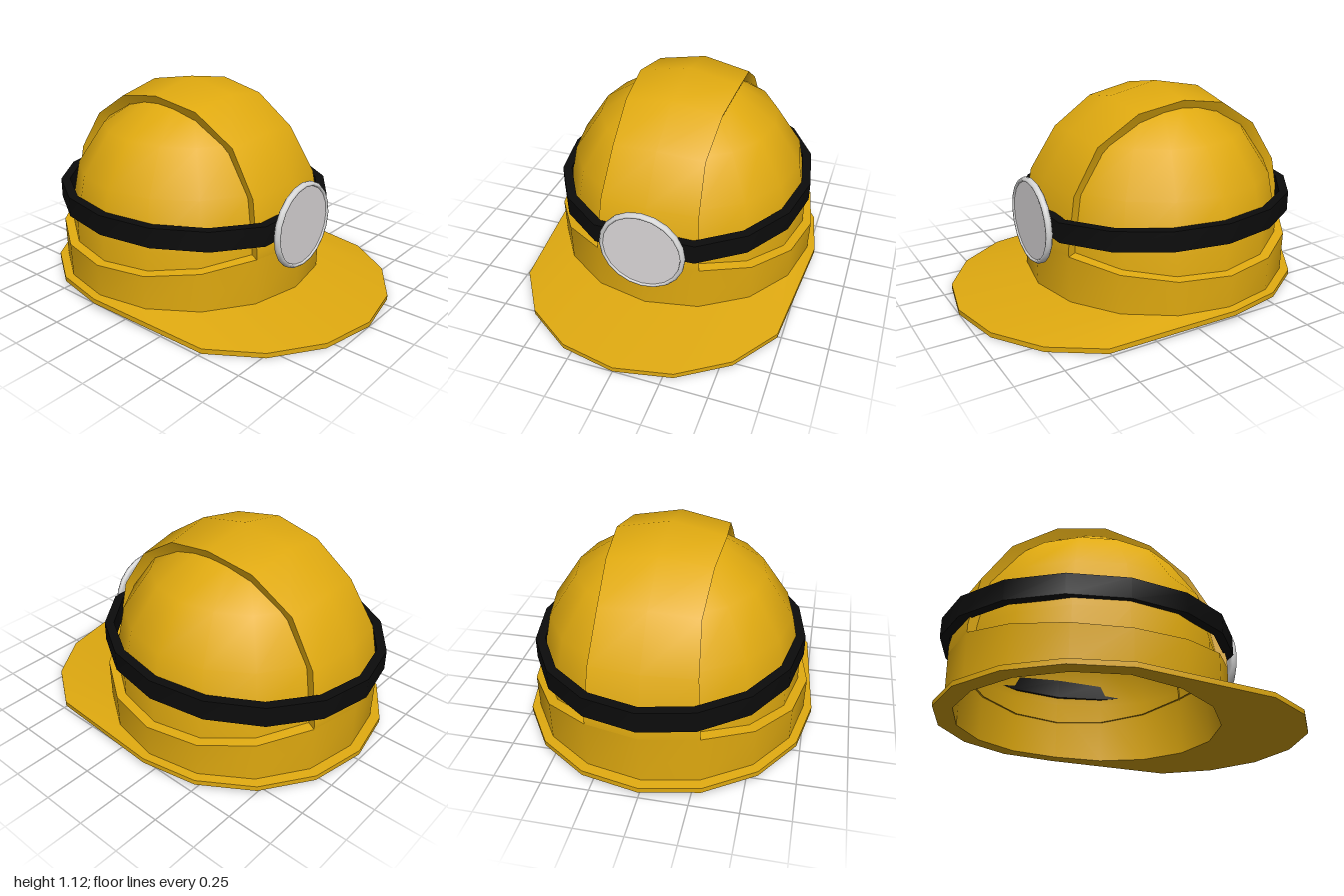
import * as THREE from 'three';
import { toCreasedNormals } from 'three/addons/utils/BufferGeometryUtils.js';

const SIDES = 16, STEP = Math.PI / 8, CY = 0.37, CZ = -0.2;

const material = (name, color, side = THREE.DoubleSide) => {
  const m = new THREE.MeshStandardMaterial({ color, side });
  m.name = name;
  return m;
};

// Skin a list of equally long rows of [x, y, z] points
function skin(rows) {
  const n = rows[0].length, index = [];
  for (let r = 0; r < rows.length - 1; r++) {
    for (let i = 0; i < n - 1; i++) {
      const a = r * n + i, b = a + 1, c = a + n, d = c + 1;
      index.push(a, b, d, a, d, c);
    }
  }
  const g = new THREE.BufferGeometry();
  g.setAttribute('position', new THREE.Float32BufferAttribute(rows.flat(2), 3));
  g.setIndex(index);
  return toCreasedNormals(g, 0.7);
}

// Closed ring around the head; fn gives a point from the angle (0 = front) and side number
const ring = (fn) => Array.from({ length: SIDES + 1 }, (_, i) => fn((i % SIDES) * STEP, i % SIDES));
const circle = (r, y) => ring((a, i) => {
  const z = CZ + r * Math.cos(a);
  return [r * Math.sin(a), typeof y === 'function' ? y(z, i) : y, z];
});

export function createModel() {
  const yellow = material('helmetYellow', 0xe0aa10);
  const black = material('strapBlack', 0x0c0c0c);
  const metal = material('lampMetal', 0xd6d6d6);
  const glass = material('lampGlass', 0xdcd9da);
  const group = new THREE.Group();
  group.name = 'helmet';
  const add = (name, geometry, mat, parent = group) => {
    const mesh = new THREE.Mesh(geometry, mat);
    mesh.name = name;
    parent.add(mesh);
    return mesh;
  };

  // The underside of the brim dips toward the front
  const under = (z) => 0.035 * (1 - THREE.MathUtils.clamp((z - CZ) / 0.7, 0, 1));

  // Shell: straight wall below, rounded dome above
  const domeRows = [circle(0.7, under)];
  for (let k = 0; k <= 4; k++) {
    domeRows.push(circle(0.7 * Math.cos(k * STEP) + 1e-4, CY + 0.7 * Math.sin(k * STEP)));
  }
  add('dome', skin(domeRows), yellow);

  // Thicker skirt, lowest at the sides
  const heights = [0.325, 0.325, 0.285, 0.255, 0.245];
  const skirtTop = (z, i) => {
    const k = i % 8;
    return heights[Math.min(k, 8 - k)];
  };
  add('skirt', skin([
    circle(0.745, 0.05),
    circle(0.75, skirtTop),
    circle(0.69, (z, i) => skirtTop(z, i) + 0.008),
  ]), yellow);

  // Raised ridge from front to back
  const widths = [0.287, 0.268, 0.252, 0.268, 0.287];
  const ridgeRows = [];
  for (let k = 0; k <= 8; k++) {
    const t = k * STEP, w = widths[k % 4];
    const row = [[-w, 0.69], [-w, 0.75], [0, 0.75], [w, 0.75], [w, 0.69]].map(([x, r]) => {
      const s = r / 0.75, q = Math.sqrt(0.5625 - x * x) * s;
      return [x * s, CY + q * Math.sin(t), CZ + q * Math.cos(t)];
    });
    ridgeRows.push(row);
  }
  const drop = (row) => row.map(([x, , z]) => [x, 0.325, z]);
  ridgeRows.unshift(drop(ridgeRows[0]));
  ridgeRows.push(drop(ridgeRows[ridgeRows.length - 1]));
  add('ridge', skin(ridgeRows), yellow);

  // Brim: stretched forward into a peak
  const edge = (lift) => ring((a) => {
    const c = Math.cos(a);
    const z = (c > 0.01 ? 0.2 : CZ) + 0.8 * c;
    return [0.79 * Math.sin(a), under(z) + lift, z];
  });
  add('brim', skin([
    circle(0.7, under), edge(0), edge(0.027), circle(0.74, 0.067),
  ]), yellow);

  // Strap, flattened behind the lamp
  const loop = (t, y) => ring((a) => [
    (0.72 - t) * Math.sin(a), y, Math.min(CZ + (0.8 - t) * Math.cos(a), 0.545 - t),
  ]);
  add('strap', skin([
    loop(0.05, 0.41), loop(0, 0.41), loop(0, 0.52), loop(0.05, 0.52), loop(0.05, 0.41),
  ]), black);

  // Lamp: rounded metal rim with a slightly sunken lens
  const lamp = new THREE.Group();
  lamp.name = 'lamp';
  lamp.position.set(0, 0.443, 0.548);
  const profile = [[0, 0], [0.222, 0], [0.235, 0.01], [0.236, 0.025], [0.226, 0.038], [0.216, 0.038], [0.212, 0.028]]
    .map(([r, h]) => new THREE.Vector2(r, h));
  add('lampRim', new THREE.LatheGeometry(profile, 20).rotateX(Math.PI / 2), metal, lamp);
  add('lampLens', new THREE.CircleGeometry(0.214, 20), glass, lamp).position.z = 0.03;
  group.add(lamp);

  return group;
}
